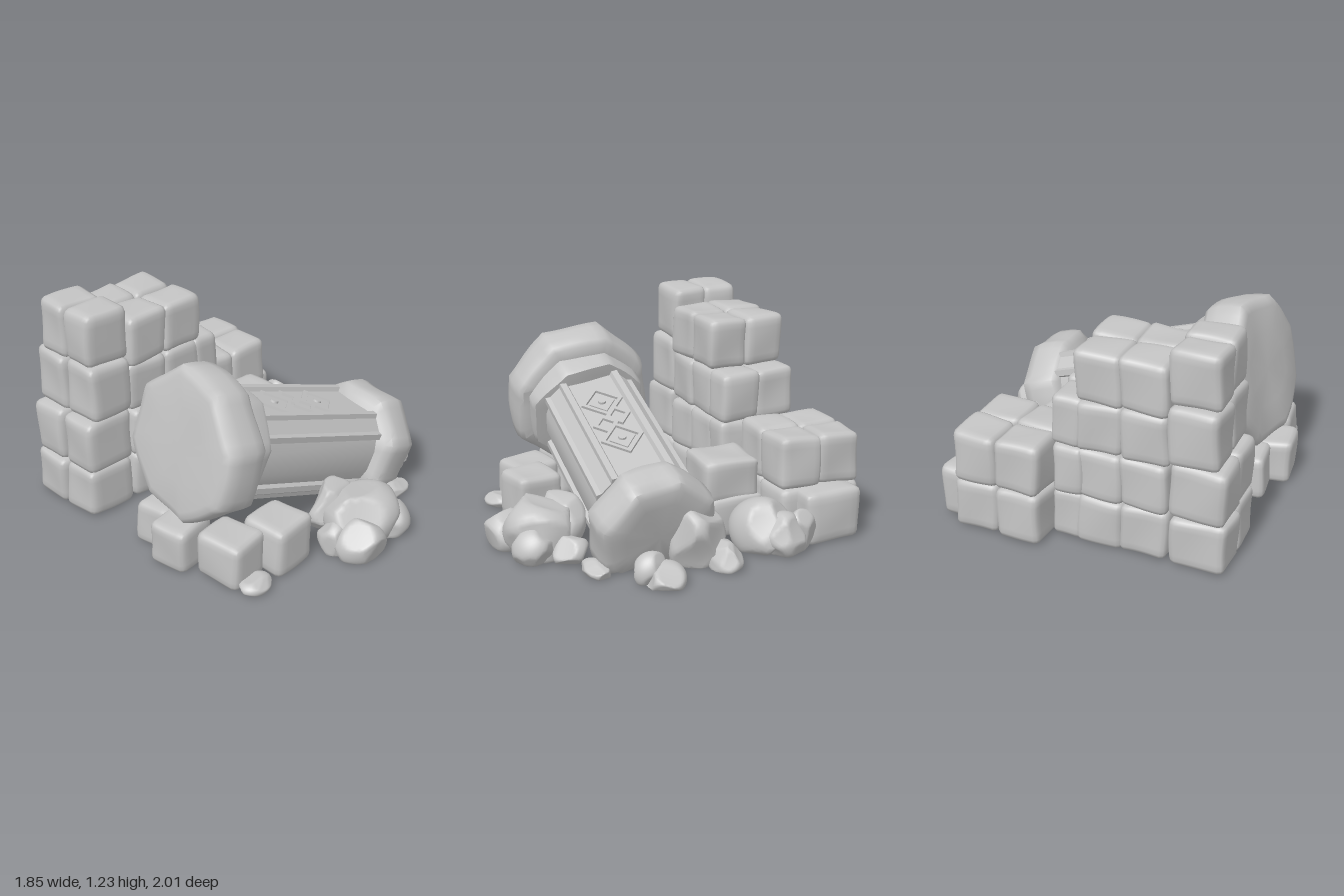
import * as THREE from 'three';
import { mergeVertices, toCreasedNormals } from 'three/addons/utils/BufferGeometryUtils.js';

const stone = new THREE.MeshStandardMaterial({ color: 0xc4c4c4 });
stone.name = 'grey stone';

let seed = 11;
const rnd = () => (seed = (seed * 16807) % 2147483647) / 2147483647;
const spread = (a) => (rnd() * 2 - 1) * a;

// Weld a geometry and move each vertex by a rule
function reshape(geo, rule) {
  geo.deleteAttribute('uv');
  geo.deleteAttribute('normal');
  const g = mergeVertices(geo, 1e-4), pos = g.attributes.position, p = new THREE.Vector3();
  for (let i = 0; i < pos.count; i++) {
    rule(p.fromBufferAttribute(pos, i));
    pos.setXYZ(i, p.x, p.y, p.z);
  }
  g.computeVertexNormals();
  return g;
}

function wobble(p, amount, s) {
  const { x, y, z } = p;
  p.x += amount * Math.sin(13 * y + 9 * z + s);
  p.y += amount * Math.sin(12 * z + 10 * x + s * 2);
  p.z += amount * Math.sin(14 * x + 8 * y + s * 3);
}

function put(parent, geo, name, x = 0, y = 0, z = 0) {
  const m = new THREE.Mesh(geo, stone);
  m.name = name;
  m.position.set(x, y, z);
  parent.add(m);
  return m;
}

// Worn building block, y is its underside
function block(parent, name, x, y, z, w, h, d, yaw = 0) {
  const r = 0.036, half = new THREE.Vector3(w / 2 - r, h / 2 - r, d / 2 - r);
  const low = half.clone().negate(), inner = new THREE.Vector3(), s = rnd() * 20;
  const geo = reshape(new THREE.BoxGeometry(w, h, d, 9, 9, 9), (p) => {
    inner.copy(p).clamp(low, half);
    p.sub(inner).setLength(r).add(inner);
    wobble(p, 0.006, s);
    p.y = Math.max(p.y, -h / 2);
  });
  put(parent, geo, name, x, y + h / 2, z).rotation.y = yaw + spread(0.015);
}

// Broken rock: a ball cut by random planes, flat on the ground
function rock(parent, x, y, z, rx, ry, rz) {
  const cuts = Array.from({ length: 13 }, () => ({
    n: new THREE.Vector3(spread(1), spread(1), spread(1)).normalize(), c: 0.78 + rnd() * 0.16,
  }));
  const s = rnd() * 20;
  const geo = reshape(new THREE.IcosahedronGeometry(1.04, 7), (p) => {
    for (const { n, c } of cuts) {
      const over = p.dot(n) - c;
      if (over > 0) p.addScaledVector(n, -over);
    }
    p.multiply(new THREE.Vector3(rx, ry, rz));
    wobble(p, 0.01, s);
    p.y = Math.max(p.y, -y);
  });
  put(parent, geo, 'rubbleRock', x, y, z);
}

// Chipped octagonal drum around y from a radius/height profile
function drum(profile, chip) {
  const s = rnd() * 20, step = Math.PI / 4;
  const pts = profile.map(([r, y]) => new THREE.Vector2(r, y));
  return reshape(new THREE.LatheGeometry(pts, 48), (p) => {
    const a = Math.atan2(p.z, p.x);
    const off = ((a + step * 8.5) % step) - step / 2;
    const k = (0.15 + 0.85 / Math.cos(off)) * (1 + chip * Math.sin(3 * a + s) + chip * 0.7 * Math.sin(7 * a + 9 * p.y + s));
    p.x *= k;
    p.z *= k;
    p.y += 0.012 * Math.sin(11 * p.x + s) * Math.min(1, Math.hypot(p.x, p.z) * 4);
  });
}

// Four-sided shaft section: flat panels above and below, swelling sides, corner flutes
function shaftGeometry(length) {
  const pts = [];
  for (let k = 0; k < 4; k++) {
    const swell = k % 2 ? 0.262 : 0.24;
    const side = [[-0.175, 0.262], [-0.14, 0.262], [-0.128, 0.24], [-0.06, swell], [0.06, swell],
      [0.128, 0.24], [0.14, 0.262], [0.175, 0.262], [0.18, 0.235], [0.235, 0.18]];
    const c = Math.cos(k * Math.PI / 2), s = Math.sin(k * Math.PI / 2);
    for (const [u, v] of side) pts.push(new THREE.Vector2(u * c + v * s, v * c - u * s));
  }
  const geo = new THREE.ExtrudeGeometry(new THREE.Shape(pts), { depth: length, bevelEnabled: false });
  return toCreasedNormals(geo.rotateX(-Math.PI / 2), 0.5);
}

function diamondFrame(w, h, t) {
  const ring = (k) => [[w * k, 0], [0, h * k], [-w * k, 0], [0, -h * k]].map(([x, y]) => new THREE.Vector2(x, y));
  const shape = new THREE.Shape(ring(1));
  shape.holes.push(new THREE.Path(ring(t)));
  return new THREE.ExtrudeGeometry(shape, { depth: 0.02, bevelEnabled: false });
}

function fallenColumn() {
  const col = new THREE.Group();
  col.name = 'fallenColumn';
  const Y = new THREE.Vector3(-1.2, 0.43, -0.15).normalize();
  const Z = new THREE.Vector3(0, 1, 0.12).addScaledVector(Y, -Y.dot(new THREE.Vector3(0, 1, 0.12))).normalize();
  const X = new THREE.Vector3().crossVectors(Y, Z);
  col.quaternion.setFromRotationMatrix(new THREE.Matrix4().makeBasis(X, Y, Z));
  col.position.set(0.56, 0.22, 0.325);
  col.updateMatrix();

  put(col, shaftGeometry(0.95), 'shaft', 0, 0.15, 0);

  // carved ornament on the upper panel
  for (const y of [0.48, 0.82]) {
    put(col, diamondFrame(0.122, 0.135, 0.78), 'diamondRim', 0, y, 0.235);
    put(col, diamondFrame(0.075, 0.085, 0.2), 'diamondCentre', 0, y, 0.229);
    put(col, new THREE.CylinderGeometry(0.022, 0.026, 0.03, 16).rotateX(Math.PI / 2), 'diamondBoss', 0, y, 0.245);
  }
  for (const s of [-1, 1]) put(col, diamondFrame(0.075, 0.085, 0.6), 'ornamentLink', s * 0.045, 0.65 + s * 0.03, 0.235);

  // capital and collar at the raised end
  const collar = drum([[0, 1.05], [0.27, 1.05], [0.32, 1.055], [0.33, 1.08], [0.33, 1.2], [0, 1.2]], 0.012);
  put(col, toCreasedNormals(collar, 0.8), 'collar');
  const slab = drum([[0, -0.13], [0.3, -0.13], [0.37, -0.125], [0.39, -0.1], [0.402, -0.04], [0.402, 0.04],
    [0.396, 0.1], [0.375, 0.122], [0.34, 0.13], [0.2, 0.13], [0, 0.13]], 0.016);
  put(col, toCreasedNormals(slab, 0.9), 'capital', 0, 1.265, 0).rotation.x = -0.12;

  // base sunk flat onto the ground, its end slightly turned
  const base = drum([[0, -0.09], [0.2, -0.09], [0.28, -0.085], [0.315, -0.065], [0.33, -0.01], [0.33, 0.08],
    [0.32, 0.13], [0.28, 0.155], [0, 0.16]], 0.016).rotateZ(0.08);
  const inverse = col.matrix.clone().invert();
  const sunk = reshape(base, (p) => {
    p.applyMatrix4(col.matrix);
    p.y = Math.max(p.y, 0.005);
    p.applyMatrix4(inverse);
  });
  put(col, toCreasedNormals(sunk, 0.9), 'base');
  return col;
}

export function createModel() {
  const model = new THREE.Group();
  model.name = 'ruin';

  // stepped wall, two blocks deep: [x, width, row heights]
  const wall = new THREE.Group();
  wall.name = 'brokenWall';
  const columns = [
    [-0.665, 0.28, [0.28, 0.31, 0.32, 0.305]],
    [-0.4, 0.268, [0.28, 0.28, 0.285, 0.285]],
    [-0.152, 0.26, [0.28, 0.28, 0.28, 0.285]],
    [0.03, 0.18, [0.28, 0.28, 0.28]],
  ];
  columns.forEach(([x, w, rows], c) => {
    let y = 0;
    rows.forEach((h, r) => {
      const shift = spread(0.006), out = c === 0 && r < 2 ? 0.03 : 0;
      const depth = c === 0 && r === 3 ? 0.21 : 0.243;
      const middle = -0.642 + (x + 0.3) * 0.05 + shift;
      for (const side of [-1, 1]) {
        block(wall, 'wallBlock', x - out + shift, y, middle + side * (depth / 2 - 0.003), w + out, h + 0.006, depth, -0.06);
      }
      y += h;
    });
  });
  model.add(wall);

  // two-by-two stack beside the wall
  const stack = new THREE.Group();
  stack.name = 'blockStack';
  stack.position.set(0.378, 0, -0.73);
  stack.rotation.y = -0.1;
  for (const x of [-0.126, 0.126]) for (const z of [-0.122, 0.122]) for (const y of [0, 0.29]) {
    block(stack, 'stackBlock', x, y, z, 0.26, 0.295, 0.255);
  }
  model.add(stack);

  // loose blocks: x, underside, z, width, height, depth, yaw
  [
    [0.66, 0, -0.72, 0.2, 0.3, 0.34, -0.1],
    [0.25, 0, -0.29, 0.36, 0.24, 0.36, -0.12],
    [0.25, 0.2, -0.29, 0.34, 0.25, 0.33, -0.12],
    [-0.44, 0, 0.58, 0.28, 0.28, 0.27, 0],
    [-0.7, 0, 0.48, 0.26, 0.26, 0.28, 0.05],
    [-0.78, 0, 0.19, 0.27, 0.26, 0.24, 0.1],
    [-0.69, 0, -0.02, 0.26, 0.25, 0.22, 0.05],
  ].forEach((b) => block(model, 'looseBlock', ...b));

  model.add(fallenColumn());

  // rubble: x, y, z and three radii
  [
    [0.06, 0.12, 0.76, 0.24, 0.19, 0.2],
    [-0.1, 0.07, 0.87, 0.14, 0.13, 0.14],
    [0.0, 0.12, 0.6, 0.17, 0.17, 0.12],
    [-0.15, 0.06, 0.74, 0.1, 0.12, 0.11],
    [0.27, 0.05, 0.68, 0.11, 0.09, 0.1],
    [0.18, 0.06, 0.84, 0.12, 0.12, 0.12],
    [-0.72, 0.03, 0.66, 0.1, 0.05, 0.08],
    [0.52, 0.03, 0.64, 0.11, 0.05, 0.07],
    [0.65, 0.14, 0.11, 0.14, 0.21, 0.16],
    [0.76, 0.05, -0.01, 0.12, 0.1, 0.09],
    [0.78, 0.03, 0.39, 0.13, 0.08, 0.11],
    [0.72, 0.05, 0.42, 0.08, 0.1, 0.1],
    [0.62, 0.1, -0.33, 0.19, 0.18, 0.16],
    [0.74, 0.09, -0.39, 0.12, 0.13, 0.13],
    [0.74, 0.1, -0.51, 0.07, 0.13, 0.09],
  ].forEach((r) => rock(model, ...r));

  return model;
}
